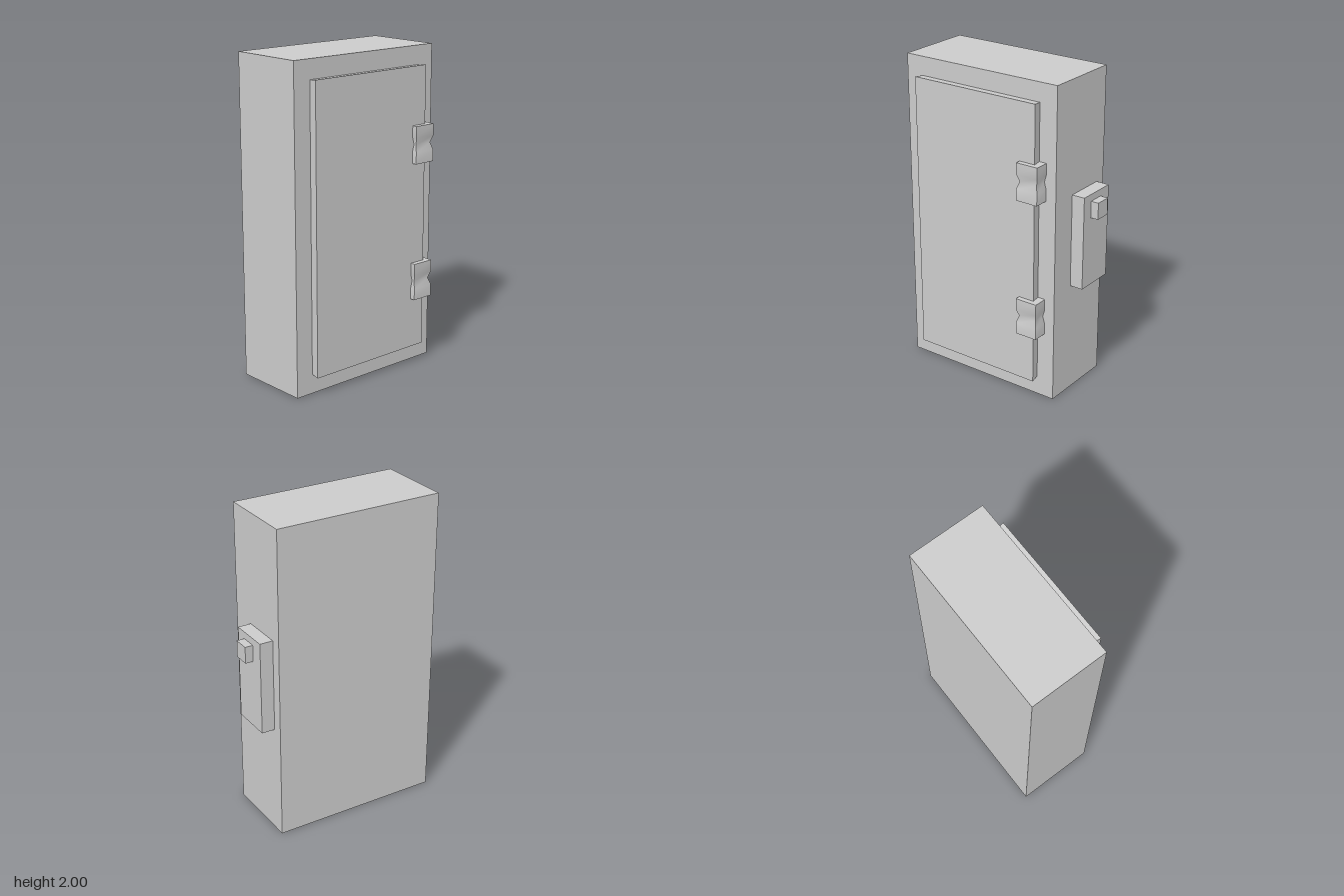
import * as THREE from 'three';
import { toCreasedNormals } from 'three/addons/utils/BufferGeometryUtils.js';

const material = new THREE.MeshStandardMaterial({ color: 0xcccccc });

// Box geometry given by its extents on each axis
function boxGeometry([x0, x1], [y0, y1], [z0, z1], ySegments = 1) {
  return new THREE.BoxGeometry(x1 - x0, y1 - y0, z1 - z0, 1, ySegments, 1)
    .translate((x0 + x1) / 2, (y0 + y1) / 2, (z0 + z1) / 2);
}

// Moves every vertex by a rule
function reshape(geometry, rule) {
  const p = geometry.attributes.position;
  const v = new THREE.Vector3();
  for (let i = 0; i < p.count; i++) {
    rule(v.fromBufferAttribute(p, i));
    p.setXYZ(i, v.x, v.y, v.z);
  }
  geometry.computeVertexNormals();
  return geometry;
}

// Block pinched around its middle, centred in x and y, back on z = 0
function hingeGeometry() {
  const w = 0.145, h = 0.233, d = 0.092;
  const geometry = reshape(boxGeometry([-w / 2, w / 2], [-h / 2, h / 2], [0, d], 4), (v) => {
    const row = Math.round(v.y / (h / 4));
    if (row === 0) {
      v.x -= Math.sign(v.x) * 0.013;
      if (v.z > 0) v.z -= 0.016;
    } else if (Math.abs(row) === 1) {
      v.y = row * 0.045;
    }
  });
  return toCreasedNormals(geometry, 0.8);
}

export function createModel() {
  const group = new THREE.Group();
  const add = (name, geometry) => {
    const mesh = new THREE.Mesh(geometry, material);
    mesh.name = name;
    group.add(mesh);
    return mesh;
  };

  // Cabinet body
  add('cabinet', boxGeometry([-0.61, 0.473], [0, 2], [-0.295, 0.203]));

  // Door, flaring slightly towards its front face
  add('door', reshape(boxGeometry([-0.503, 0.365], [0.115, 1.888], [0.203, 0.262]), (v) => {
    if (v.z < 0.23) {
      v.x += v.x < 0 ? 0.009 : -0.009;
      v.y += v.y < 1 ? 0.006 : -0.006;
    }
  }));

  // Two hinges over the door edge
  const hinge = hingeGeometry();
  for (const [name, y] of [['lowerHinge', 0.548], ['upperHinge', 1.413]]) {
    add(name, hinge).position.set(0.333, y, 0.203);
  }

  // Side control box with its button
  add('controlBox', boxGeometry([0.473, 0.557], [0.708, 1.297], [-0.227, 0.034]));
  add('button', boxGeometry([0.557, 0.607], [1.148, 1.253], [-0.141, -0.04]));

  return group;
}
